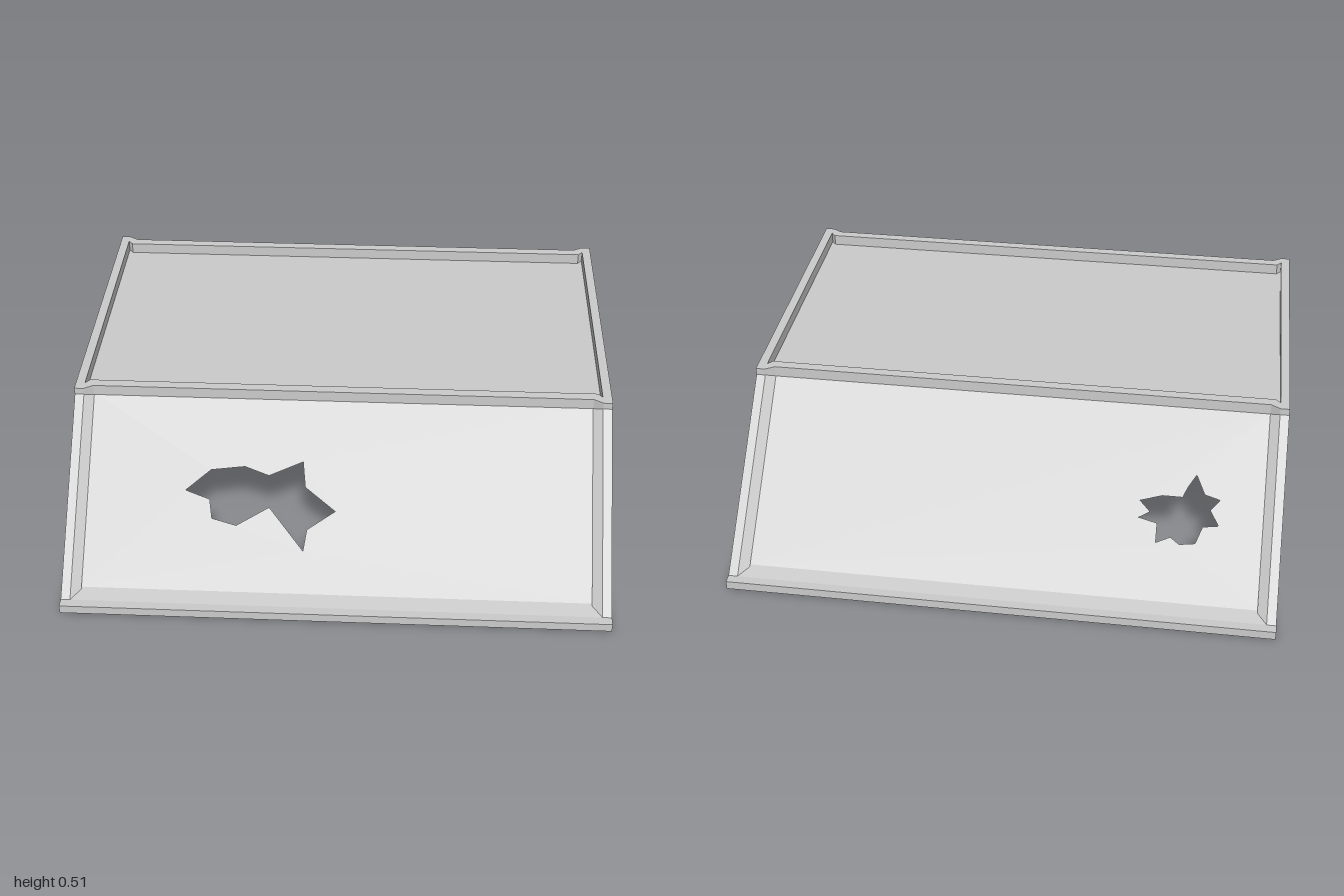
import * as THREE from 'three';

const solid = new THREE.MeshStandardMaterial({ color: 0xcccccc, flatShading: true });
const thin = new THREE.MeshStandardMaterial({ color: 0xcccccc, flatShading: true, side: THREE.DoubleSide });

// Height of the sloping sheet at depth z
const slopeY = (z) => 0.04 + (0.92 - z) * 0.945;

const points = (list) => list.map(([x, y]) => new THREE.Vector2(x, y));

function addMesh(parent, name, geometry, material) {
  const mesh = new THREE.Mesh(geometry, material);
  mesh.name = name;
  parent.add(mesh);
  return mesh;
}

// Move every vertex to the height given by a rule of z
function liftBy(geometry, rule) {
  const p = geometry.attributes.position;
  for (let i = 0; i < p.count; i++) p.setY(i, p.getY(i) + rule(p.getZ(i)));
  geometry.computeVertexNormals();
  return geometry;
}

// Thin sheet outlined in x and z, with an optional torn hole
function sheet(halfWidth, z0, z1, rule, hole) {
  const w = halfWidth;
  const shape = new THREE.Shape(points([[-w, -z1], [w, -z1], [w, -z0], [-w, -z0]]));
  if (hole) shape.holes.push(new THREE.Path(points(hole.map(([x, z]) => [x, -z]))));
  return liftBy(new THREE.ShapeGeometry(shape).rotateX(-Math.PI / 2), rule);
}

// One sloping side, facing +z
function slope(name, hole) {
  const group = new THREE.Group();
  group.name = name;
  addMesh(group, 'slopeSheet', sheet(0.825, 0.455, 0.92, slopeY, hole), thin);
  addMesh(group, 'bottomFlange', sheet(0.85, 0.92, 0.975, (z) => 0.04 - (z - 0.92) * 0.2), thin);

  // Raised side rims with a bevel towards the sheet
  for (const m of [-1, 1]) {
    const section = new THREE.Shape(points([[m * 0.88, 0], [m * 0.88, 0.03], [m * 0.85, 0.03], [m * 0.82, 0]]));
    const rim = new THREE.ExtrudeGeometry(section, { depth: 0.508, bevelEnabled: false });
    rim.translate(0, 0, 0.462);
    addMesh(group, m > 0 ? 'leftRim' : 'rightRim', liftBy(rim, (z) => Math.max(0, slopeY(z))), solid);
  }

  // Foot bar along the lower edge
  const foot = new THREE.BoxGeometry(1.76, 0.03, 0.03).translate(0, 0.015, 0.985);
  addMesh(group, 'footBar', foot, solid);
  return group;
}

export function createModel() {
  const model = new THREE.Group();
  model.name = 'damagedRoof';

  // Flat top: frame with notched ends around a sunken sheet
  const corner = [[0.88, 0.48], [0.85, 0.48], [0.82, 0.462]];
  const outline = [
    ...corner,
    ...corner.map(([x, z]) => [-x, z]).reverse(),
    ...corner.map(([x, z]) => [-x, -z]),
    ...corner.map(([x, z]) => [x, -z]).reverse(),
  ];
  const frame = new THREE.Shape(points(outline));
  const inner = [];
  for (const [sx, sz] of [[1, 1], [-1, 1], [-1, -1], [1, -1]]) {
    const pair = [[sx * 0.85, sz * 0.447], [sx * 0.835, sz * 0.43]];
    inner.push(...(sx * sz > 0 ? pair : pair.reverse()));
  }
  frame.holes.push(new THREE.Path(points(inner)));
  const frameGeometry = new THREE.ExtrudeGeometry(frame, { depth: 0.05, bevelEnabled: false });
  frameGeometry.rotateX(-Math.PI / 2).translate(0, 0.46, 0);
  addMesh(model, 'topFrame', frameGeometry, solid);
  addMesh(model, 'topSheet', sheet(0.86, -0.45, 0.45, () => 0.472), thin);

  // Front slope with a long ragged tear
  model.add(slope('frontSlope', [
    [-0.5, 0.685], [-0.42, 0.635], [-0.31, 0.625], [-0.23, 0.645], [-0.12, 0.61], [-0.11, 0.67],
    [-0.01, 0.725], [-0.1, 0.77], [-0.11, 0.82], [-0.225, 0.72], [-0.33, 0.765], [-0.41, 0.75], [-0.42, 0.705],
  ]));

  // Back slope, turned round, with a smaller jagged tear
  const back = slope('backSlope', [
    [0.68, 0.735], [0.63, 0.74], [0.61, 0.78], [0.56, 0.785], [0.53, 0.77], [0.485, 0.785],
    [0.485, 0.74], [0.425, 0.73], [0.46, 0.715], [0.425, 0.69], [0.495, 0.675], [0.56, 0.675],
    [0.575, 0.65], [0.6, 0.62], [0.63, 0.665], [0.68, 0.675], [0.65, 0.7],
  ]);
  back.rotation.y = Math.PI;
  model.add(back);
  return model;
}
